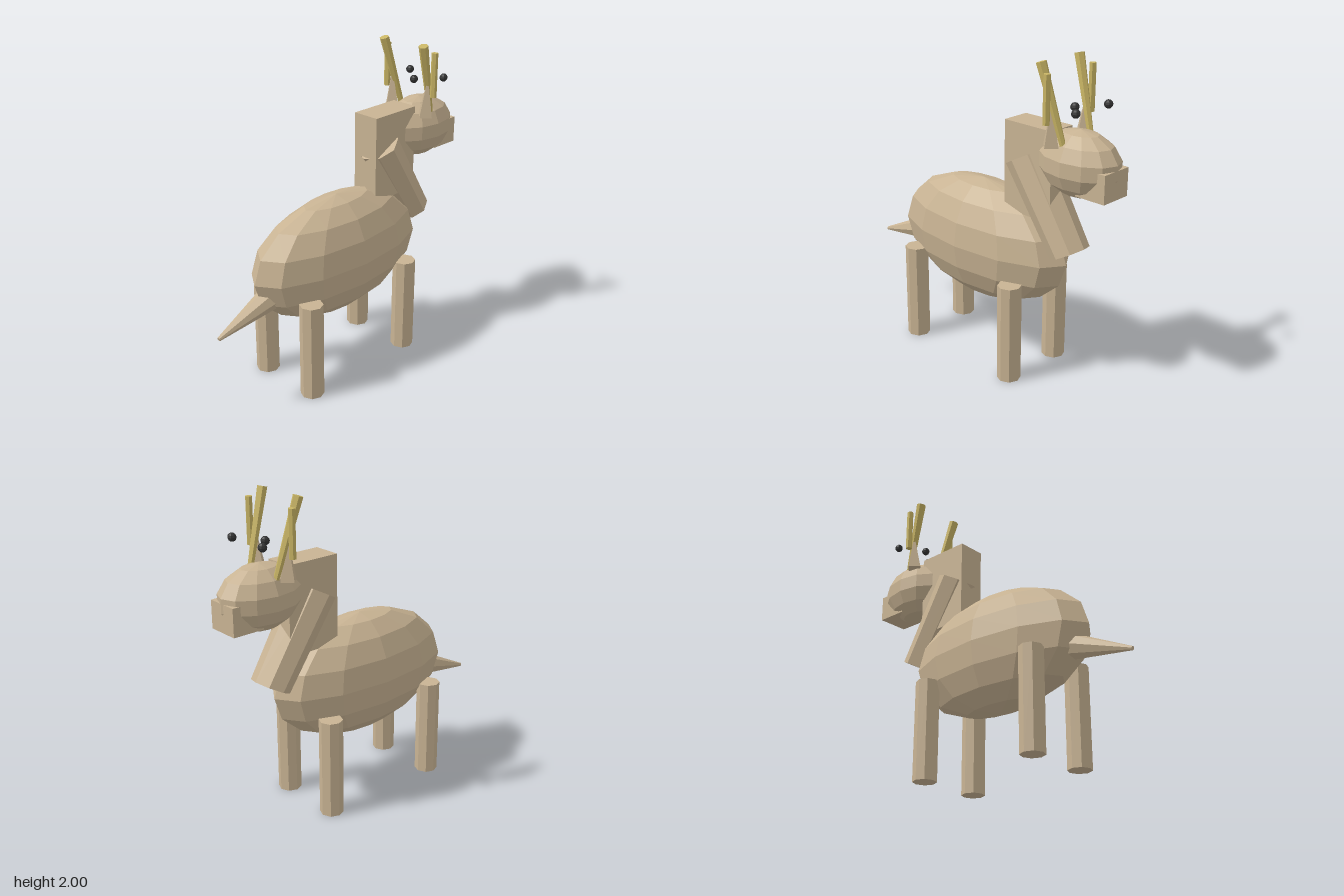
import * as THREE from 'three';

export function createModel() {
  const model = new THREE.Group();
  model.name = 'deer';

  const flat = (name, color) => {
    const m = new THREE.MeshStandardMaterial({ color, flatShading: true });
    m.name = name;
    return m;
  };
  const hide = flat('tan hide', 0xc8b393);
  const horn = flat('golden antler', 0xc8b464);
  const dark = flat('dark eye', 0x333333);

  const add = (name, geometry, material, x = 0, y = 0, z = 0) => {
    const mesh = new THREE.Mesh(geometry, material);
    mesh.name = name;
    mesh.position.set(x, y, z);
    model.add(mesh);
    return mesh;
  };
  const ellipsoid = (rx, ry, rz, w, h) => new THREE.SphereGeometry(1, w, h).scale(rx, ry, rz);

  // Tapered rod from point a (bottom) to point b (top)
  const rod = (name, a, b, ra, rb, sides, material) => {
    const from = new THREE.Vector3(...a), to = new THREE.Vector3(...b);
    const dir = to.clone().sub(from);
    const mesh = add(name, new THREE.CylinderGeometry(rb, ra, dir.length(), sides), material);
    mesh.position.copy(from).add(to).multiplyScalar(0.5);
    mesh.quaternion.setFromUnitVectors(new THREE.Vector3(0, 1, 0), dir.normalize());
    return mesh;
  };

  // Torso and tail
  add('body', ellipsoid(0.265, 0.385, 0.67, 12, 8), hide, 0, 0.765, 0.03);
  rod('tail', [0, 0.655, 0.56], [0, 0.527, 0.98], 0.082, 0.012, 8, hide);

  // Neck: leaning cylinder whose end caps are tilted a little less than its axis
  const tilt = THREE.MathUtils.degToRad(28.2);
  const neckShape = new THREE.CylinderGeometry(0.143, 0.125, 1, 8).applyMatrix4(
    new THREE.Matrix4().makeBasis(
      new THREE.Vector3(1, 0, 0),
      new THREE.Vector3(0, 0.52, 0.335),
      new THREE.Vector3(0, -Math.sin(tilt), Math.cos(tilt)).multiplyScalar(0.94)
    )
  );
  add('neck', neckShape, hide, 0, 1.115, -0.498);
  add('mane', new THREE.BoxGeometry(0.18, 0.55, 0.355), hide, 0, 1.315, -0.403);

  // Head
  add('head', ellipsoid(0.18, 0.195, 0.267, 12, 7), hide, 0, 1.419, -0.715);
  add('muzzle', new THREE.BoxGeometry(0.205, 0.168, 0.2), hide, 0, 1.348, -0.87);
  add('foreheadBead', new THREE.SphereGeometry(0.026, 8, 6), dark, 0, 1.73, -0.665);

  // Mirrored parts
  for (const [side, s] of [['left', 1], ['right', -1]]) {
    for (const [end, z] of [['front', -0.383], ['rear', 0.443]]) {
      add(`${side} ${end} leg`, new THREE.CylinderGeometry(0.073, 0.073, 0.625, 8), hide, s * 0.207, 0.3125, z);
    }
    add(`${side} eye`, new THREE.SphereGeometry(0.026, 8, 6), dark, s * 0.14, 1.743, -0.787);
    rod(`${side} ear`, [s * 0.14, 1.525, -0.62], [s * 0.148, 1.76, -0.625], 0.056, 0.004, 4, hide);
    rod(`${side} antler`, [s * 0.12, 1.53, -0.692], [s * 0.16, 1.99, -0.555], 0.018, 0.031, 6, horn);
    rod(`${side} tine`, [s * 0.193, 1.66, -0.627], [s * 0.193, 1.94, -0.627], 0.021, 0.021, 6, horn);
  }

  return model;
}
